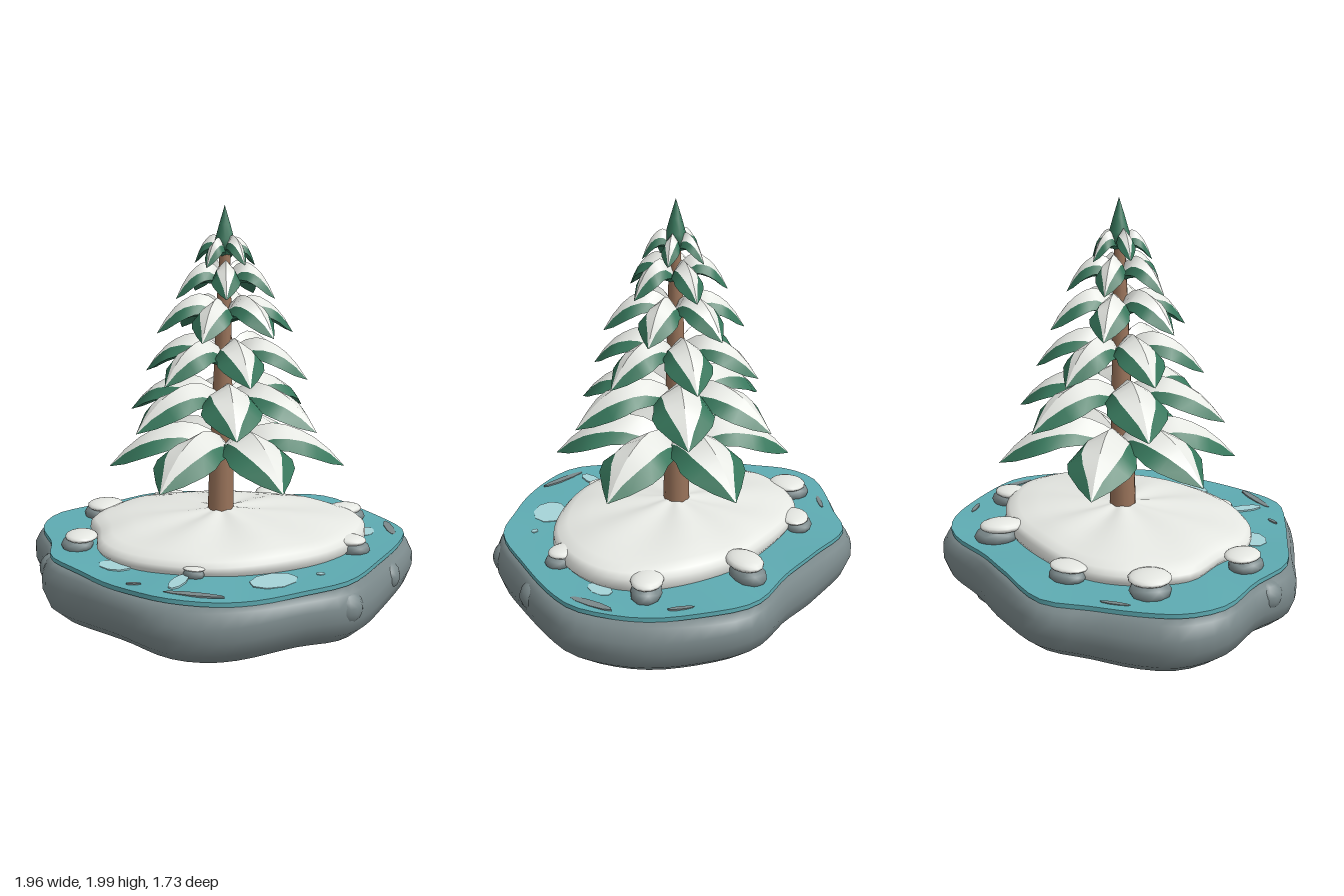
import * as THREE from 'three';
import { mergeGeometries } from 'three/addons/utils/BufferGeometryUtils.js';

const mat = (name, color, side = THREE.FrontSide) =>
  Object.assign(new THREE.MeshStandardMaterial({ color, side }), { name });

// Samples a smooth closed outline from [x, z] points.
function outline(points, n = 72) {
  const v = points.map(([x, z]) => new THREE.Vector3(x, 0, z));
  return new THREE.CatmullRomCurve3(v, true).getSpacedPoints(n).slice(0, n);
}

// Stacks scaled copies of an outline; a repeated ring makes a sharp edge.
function loft(loop, rings, cx = 0, cz = 0, lift = () => 0) {
  const n = loop.length, pos = [], idx = [];
  rings.forEach(([s, y], j) => loop.forEach((p, i) => {
    const x = cx + (p.x - cx) * s, z = cz + (p.z - cz) * s;
    pos.push(x, y + lift(x, z, s, j), z);
    if (j === rings.length - 1) return;
    const a = j * n + i, b = j * n + (i + 1) % n;
    idx.push(a, a + n, b, b, a + n, b + n);
  }));
  const g = new THREE.BufferGeometry();
  g.setAttribute('position', new THREE.Float32BufferAttribute(pos, 3));
  g.setIndex(idx);
  g.computeVertexNormals();
  return g;
}

// Smooth strip between two columns of points.
function strip(A, B) {
  const idx = [], n = A.length;
  for (let i = 0; i < n - 1; i++) idx.push(i, n + i, i + 1, n + i, n + i + 1, i + 1);
  const g = new THREE.BufferGeometry();
  g.setAttribute('position', new THREE.Float32BufferAttribute([...A, ...B].flat(), 3));
  g.setIndex(idx);
  g.computeVertexNormals();
  return g;
}

// Leaf sections: distance, half width, ridge height, edge height, snow share of the width
const SECTIONS = [
  [0, 0.06, 0.55, 0.3, 0.9], [0.12, 0.12, 0.78, 0.4, 0.85], [0.25, 0.19, 0.94, 0.48, 0.8],
  [0.38, 0.24, 1, 0.52, 0.72], [0.5, 0.25, 0.95, 0.5, 0.67], [0.63, 0.28, 0.82, 0.42, 0.58],
  [0.74, 0.245, 0.66, 0.31, 0.52], [0.87, 0.13, 0.38, 0.13, 0.46], [1, 0, 0, 0, 0.4]];

// Arched pointed bough with a ridge, snowy top and steep green flanks.
function leafGeometry(R, H) {
  const column = (side, fn) => SECTIONS.map(([t, w, ridge, edge, snow]) => {
    const f = fn(snow);
    return [t * R, H * (ridge + (edge - ridge) * Math.pow(f, 1.8)), side * w * R * f];
  });
  const ridge = column(0, () => 0);
  const [snowL, snowR] = [-1, 1].map(s => column(s, f => f));
  const [edgeL, edgeR] = [-1, 1].map(s => column(s, () => 1));
  const belly = SECTIONS.map(([t, , , e]) => [t * R, H * e * 0.8, 0]);
  return {
    snow: mergeGeometries([strip(snowL, ridge), strip(ridge, snowR)]),
    green: mergeGeometries([strip(edgeL, snowL), strip(snowR, edgeR),
      strip(edgeR, belly), strip(belly, edgeL)]),
  };
}

export function createModel() {
  const model = new THREE.Group();
  const rock = mat('grey rock', 0x7b898b);
  const water = mat('teal water', 0x5eabb2);
  const ice = mat('pale ice', 0xa6d3d8);
  const snow = mat('snow', 0xe9ebe6, THREE.DoubleSide);
  const green = mat('pine green', 0x37775c, THREE.DoubleSide);
  const bark = mat('brown bark', 0x99735a);
  const add = (name, geometry, material, parent = model) => {
    const m = new THREE.Mesh(geometry, material);
    m.name = name;
    parent.add(m);
    return m;
  };

  // Rock slab and the water lying on it
  const shore = outline([[-0.4, -0.86], [-0.05, -0.84], [0.2, -0.8], [0.48, -0.8], [0.62, -0.74],
    [0.85, -0.47], [0.96, -0.22], [0.98, -0.08], [0.93, 0.08], [0.78, 0.35], [0.58, 0.64],
    [0.35, 0.75], [0.12, 0.835], [-0.1, 0.86], [-0.3, 0.82], [-0.5, 0.66], [-0.68, 0.48],
    [-0.86, 0.28], [-0.9, 0.02], [-0.98, -0.25], [-0.93, -0.45], [-0.8, -0.58], [-0.6, -0.72]]);
  const lumps = (x, z, s, j) => j > 0 && j < 6 ? 0.012 * Math.sin(6 * Math.atan2(z, x) + 1) : 0;
  add('rockBase', loft(shore, [[0, 0.035], [0.78, 0.035], [0.9, 0.06], [0.97, 0.115], [1, 0.185],
    [1, 0.25], [0.975, 0.305], [0.94, 0.328], [0.85, 0.33], [0, 0.33]], 0, 0, lumps), rock);
  const ripple = (x, z, s) => s * 0.008 * Math.sin(8 * x + 5 * z);
  add('water', loft(shore, [[0, 0.32], [0.9, 0.316], [0.952, 0.33], [0.952, 0.33],
    [0.952, 0.351], [0.952, 0.351], [0.6, 0.346], [0, 0.346]], 0, 0, ripple), water);

  // Snow island with shallow furrows running from the trunk
  const drift = outline([[-0.3, -0.58], [0, -0.59], [0.3, -0.54], [0.55, -0.4], [0.7, -0.22],
    [0.73, -0.06], [0.67, 0.14], [0.5, 0.34], [0.25, 0.47], [0, 0.53], [-0.2, 0.51], [-0.45, 0.4],
    [-0.6, 0.22], [-0.63, 0.02], [-0.68, -0.2], [-0.58, -0.4], [-0.45, -0.52]]);
  const furrow = (x, z, s, j) => j < 2 ? 0 : 0.012 * x
    + 0.03 * s * (1 - s) * Math.sin(7 * Math.atan2(z + 0.06, x)) - 0.015 * Math.max(0, z);
  add('snowIsland', loft(drift, [[0.96, 0.33], [1, 0.365], [0.995, 0.4], [0.96, 0.422],
    [0.88, 0.443], [0.7, 0.463], [0.45, 0.478], [0.25, 0.486], [0.1, 0.497], [0, 0.505]],
  0, -0.06, furrow), snow);

  // Snow-capped stones around the island: x, z, half length outward, half width, turn
  const ball = new THREE.SphereGeometry(1, 14, 9);
  const boulder = new THREE.IcosahedronGeometry(1, 1);
  [[-0.285, -0.595, 0.075, 0.1, 116], [0.285, -0.6, 0.115, 0.085, 62], [0.66, -0.3, 0.1, 0.08, 22],
    [0.62, 0.19, 0.085, 0.07, -17], [-0.14, 0.52, 0.035, 0.055, -105], [-0.7, 0.1, 0.085, 0.1, 188],
    [-0.625, -0.4, 0.1, 0.105, 147]].forEach(([x, z, a, b, turn]) => {
    const stone = new THREE.Group();
    stone.name = 'snowyStone';
    stone.position.set(x, 0.365, z);
    stone.rotation.y = THREE.MathUtils.degToRad(turn);
    const body = add('stone', boulder, rock, stone);
    body.scale.set(a * 0.95, 0.28 * a + 0.02, b * 0.92);
    body.position.x = 0.2 * a;
    const cap = add('snowCap', ball, snow, stone);
    cap.scale.set(a * 0.95, 0.28 * a, b * 0.95);
    cap.position.set(-0.05 * a, 0.36 * a + 0.01, 0);
    model.add(stone);
  });

  // Stones set in the side and underside of the slab: centre, then half sizes
  [[0.54, 0.23, 0.59, 0.085, 0.085, 0.08], [0.79, 0.24, 0.23, 0.07, 0.075, 0.08],
    [-0.83, 0.25, 0.12, 0.075, 0.075, 0.08], [-0.58, 0.055, 0.07, 0.16, 0.045, 0.13],
    [0.28, 0.055, -0.6, 0.16, 0.045, 0.13]].forEach(([x, y, z, a, b, c]) => {
    const s = add('embeddedStone', ball, rock);
    s.position.set(x, y, z);
    s.scale.set(a, b, c);
  });

  // Thin patches of ice and bare rock on the water: x, z, half length, half width, turn
  const patch = new THREE.CylinderGeometry(1, 1, 0.008, 9);
  [[0.22, 0.57, 0.12, 0.085, 0.5, ice], [-0.21, 0.6, 0.09, 0.035, 1.2, ice],
    [-0.51, 0.36, 0.085, 0.065, -0.5, ice], [0.74, -0.1, 0.07, 0.045, 1.3, ice],
    [0.44, 0.5, 0.02, 0.015, 0, ice], [0.87, -0.14, 0.11, 0.022, 1.6, rock],
    [-0.14, 0.745, 0.14, 0.02, -0.25, rock], [0.7, -0.5, 0.06, 0.012, -0.85, rock],
    [-0.62, -0.59, 0.07, 0.012, 0.6, rock], [-0.41, 0.6, 0.035, 0.01, -0.1, rock],
  ].forEach(([x, z, a, b, turn, m]) => {
    const p = add(m === ice ? 'icePatch' : 'rockPatch', patch, m);
    p.position.set(x, 0.352 + ripple(x, z, 0.85), z);
    p.scale.set(a, 1, b);
    p.rotation.y = turn;
  });

  // Trunk, leaning very slightly
  const trunk = new THREE.LatheGeometry([[0.066, 0.45], [0.062, 0.65], [0.055, 0.9], [0.045, 1.2],
    [0.037, 1.5], [0.024, 1.82]].map(([r, y]) => new THREE.Vector2(r, y)), 12);
  trunk.applyMatrix4(new THREE.Matrix4().makeShear(0, 0, 0.016, 0, 0, 0));
  add('trunk', trunk, bark).position.set(-0.015, 0, -0.062);

  // Tiers of boughs: tip height, peak height, reach, centre x, angles
  [[0.71, 0.935, 0.59, 0.026, [0, 66, 123, 177, 230, 301]],
    [0.95, 1.16, 0.52, 0.01, [34, 85, 144, 204, 270, 323]],
    [1.17, 1.37, 0.41, 0.016, [15, 75, 135, 195, 255, 315]],
    [1.38, 1.57, 0.34, 0.018, [-10, 50, 110, 170, 230, 290]],
    [1.56, 1.735, 0.25, 0.015, [18, 90, 162, 234, 306]],
    [1.71, 1.85, 0.155, 0.015, [-18, 54, 126, 198, 270]],
  ].forEach(([tip, peak, reach, x, angles]) => {
    const tier = new THREE.Group();
    tier.name = 'branchTier';
    tier.position.set(x, 0, -0.063);
    const geo = leafGeometry(reach, peak - tip);
    angles.forEach((deg, i) => {
      const bough = new THREE.Group();
      bough.name = 'bough';
      bough.position.y = tip + 0.012 * (i % 2);
      bough.rotation.y = -THREE.MathUtils.degToRad(deg);
      add('boughNeedles', geo.green, green, bough);
      add('boughSnow', geo.snow, snow, bough);
      tier.add(bough);
    });
    model.add(tier);
  });

  // Pointed green top
  add('treeTop', new THREE.LatheGeometry([[0, 1.74], [0.055, 1.79], [0.048, 1.84], [0.028, 1.91],
    [0, 2]].map(([r, y]) => new THREE.Vector2(r, y)), 10), green).position.set(0.013, 0, -0.065);

  return model;
}
